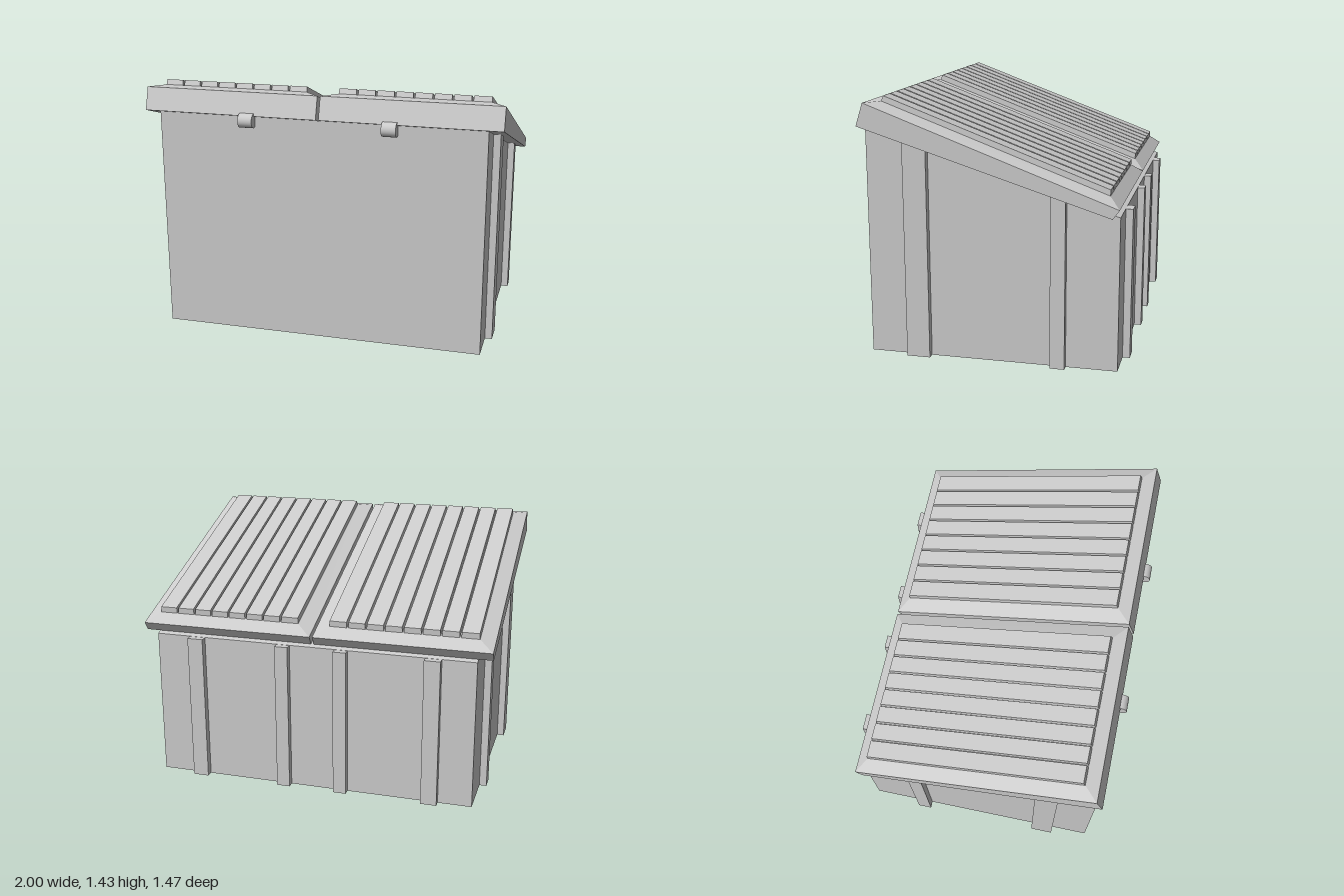
import * as THREE from 'three';

// Each ring: [x0, x1, zFront, yFront, zBack, yBack], listed from bottom to top.
function loft(rings) {
  const corners = rings.map(([x0, x1, zf, yf, zb, yb]) => [
    [x0, yf, zf], [x1, yf, zf], [x1, yb, zb], [x0, yb, zb],
  ]);
  const pos = [];
  const quad = (a, b, c, d) => pos.push(...a, ...b, ...c, ...a, ...c, ...d);
  for (let r = 0; r < corners.length - 1; r++) {
    for (let i = 0; i < 4; i++) {
      const j = (i + 1) % 4;
      quad(corners[r][i], corners[r][j], corners[r + 1][j], corners[r + 1][i]);
    }
  }
  const [b0, b1, b2, b3] = corners[0];
  quad(b0, b3, b2, b1);
  quad(...corners[corners.length - 1]);
  const geo = new THREE.BufferGeometry();
  geo.setAttribute('position', new THREE.Float32BufferAttribute(pos, 3));
  geo.computeVertexNormals();
  return geo;
}

// Height of the sloping rim of the bin at depth z
const rim = (z) => 1.275 + (z - 0.7) * 0.311;

const column = (x0, x1, zf, zb) =>
  loft([[x0, x1, zf, 0, zb, 0], [x0, x1, zf, rim(zf), zb, rim(zb)]]);

export function createModel() {
  const model = new THREE.Group();
  model.name = 'storageBin';
  const grey = new THREE.MeshStandardMaterial({ color: 0xcccccc });
  grey.name = 'grey';
  const add = (name, geo, parent = model) => {
    const mesh = new THREE.Mesh(geo, grey);
    mesh.name = name;
    parent.add(mesh);
    return mesh;
  };

  // Bin with a sloping rim
  add('body', column(-0.92, 0.92, 0.68, -0.695));

  // Ribs on both sides
  for (const [zf, zb] of [[0.465, 0.335], [-0.335, -0.415]]) {
    add('sideRib', column(0.91, 0.96, zf, zb));
    add('sideRib', column(-0.96, -0.91, zf, zb));
  }

  // Ribs on the back
  for (const [x0, x1] of [[-0.73, -0.64], [-0.21, -0.135], [0.125, 0.2], [0.63, 0.72]]) {
    add('backRib', loft([
      [x0, x1, -0.69, 0, -0.735, 0],
      [x0, x1, -0.69, 0.84, -0.735, 0.84],
    ]));
  }

  // Two lids, each a bevelled slab with raised slats
  for (const side of [-1, 1]) {
    const lid = new THREE.Group();
    lid.name = side < 0 ? 'rightLid' : 'leftLid';
    model.add(lid);
    const span = (a, b) => (side > 0 ? [a, b] : [-b, -a]);

    add('lidSlab', loft([
      [...span(0.008, 1), 0.7, 1.275, -0.665, 0.85],
      [...span(0.008, 1), 0.66, 1.4, -0.7, 0.9],
      [...span(0.09, 0.92), 0.585, 1.402, -0.64, 0.953],
    ]), lid);

    const count = 8, pitch = 0.83 / count;
    for (let i = 0; i < count; i++) {
      const a = 0.09 + i * pitch + (i ? 0.004 : 0);
      const b = 0.09 + (i + 1) * pitch - (i < count - 1 ? 0.004 : 0);
      add('slat', loft([
        [...span(a, b), 0.585, 1.4, -0.64, 0.951],
        [...span(a + 0.002, b - 0.002), 0.573, 1.43, -0.642, 0.985],
      ]), lid);
    }

    // Round catch at the front edge
    const catchGeo = new THREE.CylinderGeometry(0.04, 0.04, 0.08, 24).rotateZ(Math.PI / 2);
    add('catch', catchGeo, lid).position.set(side * 0.4, 1.25, 0.698);
  }
  return model;
}
